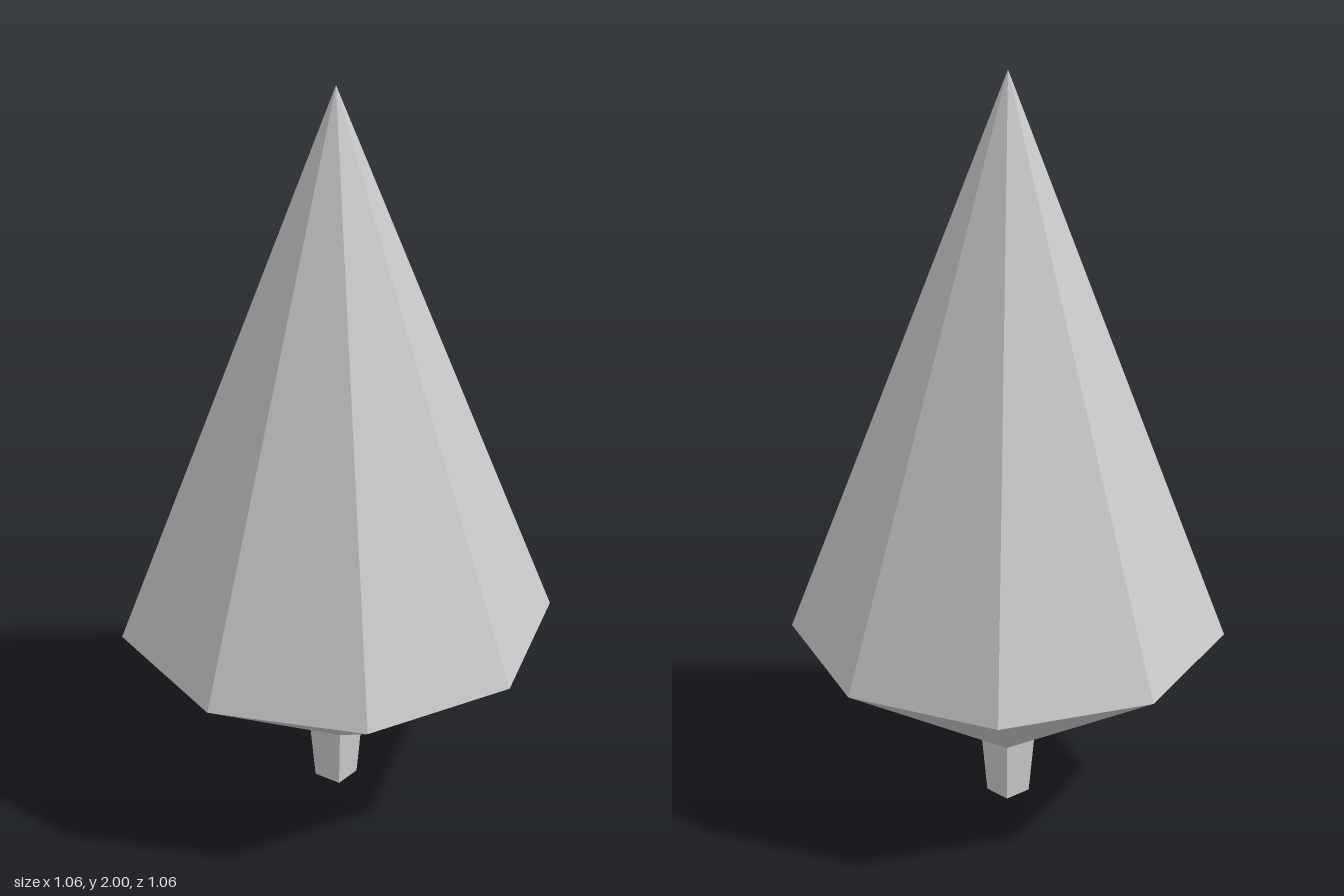
import * as THREE from 'three';

const R = 0.532, RIM_Y = 0.443, NECK_Y = 0.148, TOP_Y = 2;
const TRUNK_TOP = 0.046, TRUNK_BOTTOM = 0.036; // half widths

function facetMesh(name, triangles, material) {
  const geometry = new THREE.BufferGeometry().setFromPoints(triangles.flat());
  geometry.computeVertexNormals();
  const mesh = new THREE.Mesh(geometry, material);
  mesh.name = name;
  return mesh;
}

export function createModel() {
  const group = new THREE.Group();
  group.name = 'tree';
  const material = new THREE.MeshStandardMaterial({ color: 0xcccccc, flatShading: true });

  // Point at a multiple of 45 degrees, counted from the front towards +x
  const polar = (step, radius, y) => {
    const a = step * Math.PI / 4;
    return new THREE.Vector3(Math.sin(a) * radius, y, Math.cos(a) * radius);
  };
  const rim = (i) => polar(i, R, RIM_Y);
  const neck = (i) => polar(i, TRUNK_TOP * Math.SQRT2, NECK_Y);

  // Tall eight-sided crown
  const apex = new THREE.Vector3(0, TOP_Y, 0);
  const crown = [];
  for (let i = 0; i < 8; i++) crown.push([rim(i), rim(i + 1), apex]);
  group.add(facetMesh('crown', crown, material));

  // Underside: eight-sided rim narrowing to the square top of the trunk
  const underside = [];
  for (let i = 0; i < 8; i += 2) {
    underside.push([neck(i - 1), neck(i + 1), rim(i)]);
    underside.push([neck(i + 1), rim(i + 1), rim(i)]);
    underside.push([neck(i + 1), rim(i + 2), rim(i + 1)]);
  }
  group.add(facetMesh('crownUnderside', underside, material));

  // Square tapered trunk, open where it meets the crown
  const sides = new THREE.CylinderGeometry(
    TRUNK_TOP * Math.SQRT2, TRUNK_BOTTOM * Math.SQRT2, NECK_Y, 4, 1, true);
  sides.rotateY(Math.PI / 4).translate(0, NECK_Y / 2, 0);
  const trunk = new THREE.Mesh(sides, material);
  trunk.name = 'trunk';
  group.add(trunk);

  // Trunk foot
  const footGeometry = new THREE.PlaneGeometry(TRUNK_BOTTOM * 2, TRUNK_BOTTOM * 2);
  footGeometry.rotateX(Math.PI / 2);
  const foot = new THREE.Mesh(footGeometry, material);
  foot.name = 'trunkFoot';
  group.add(foot);

  return group;
}
